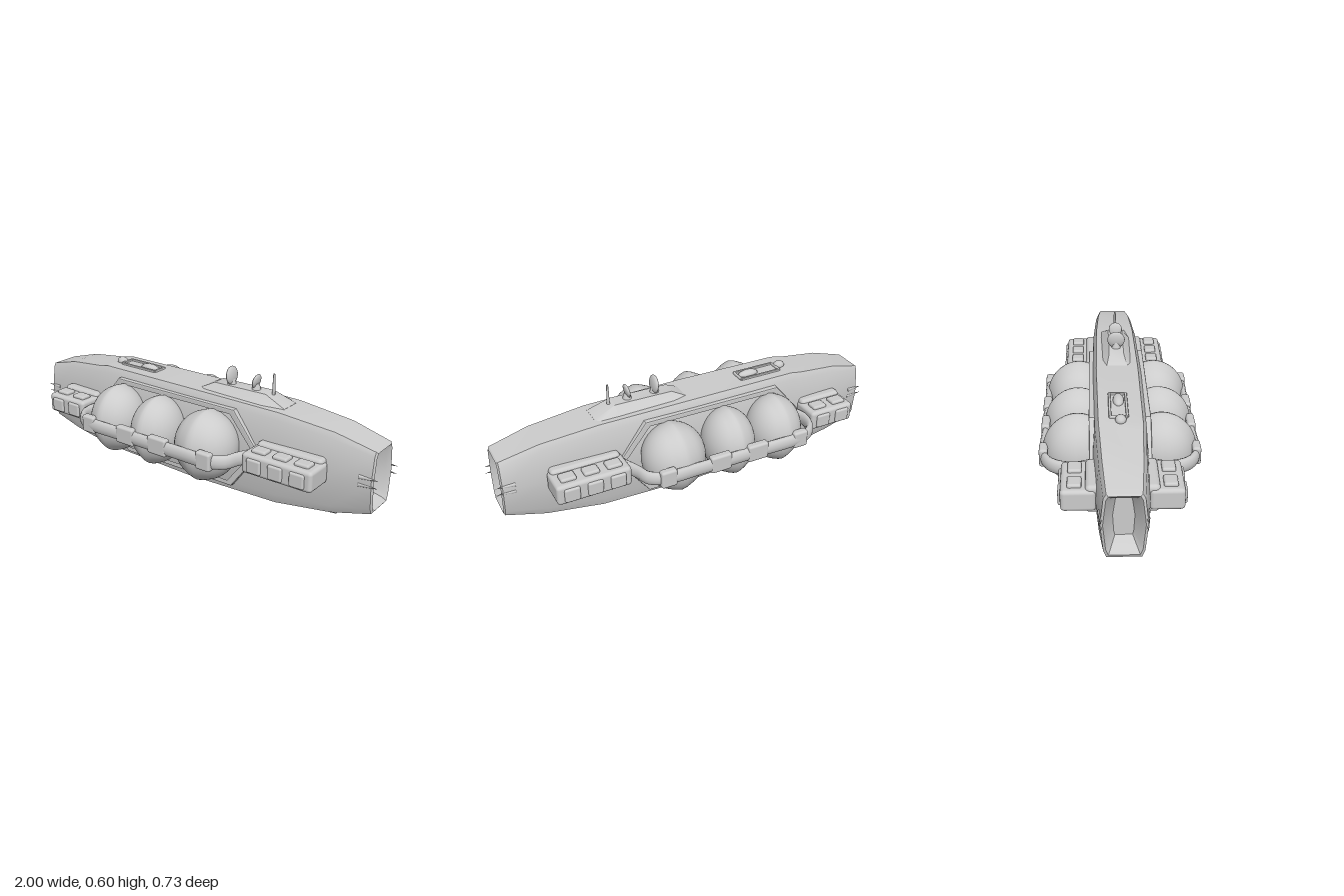
import * as THREE from 'three';
import { toCreasedNormals } from 'three/addons/utils/BufferGeometryUtils.js';
import { RoundedBoxGeometry } from 'three/addons/geometries/RoundedBoxGeometry.js';

const grey = new THREE.MeshStandardMaterial({ color: 0xcccccc });

function add(parent, name, geometry, x = 0, y = 0, z = 0) {
  const mesh = new THREE.Mesh(geometry, grey);
  mesh.name = name;
  mesh.position.set(x, y, z);
  parent.add(mesh);
  return mesh;
}

const rbox = (w, h, d, r) => new RoundedBoxGeometry(w, h, d, 2, r);

// Joins rings of [y, z] points along x, closing both ends.
function loft(rings, crease = 0.5) {
  const pos = [], idx = [], n = rings[0].pts.length;
  for (const { x, pts } of rings) for (const [y, z] of pts) pos.push(x, y, z);
  for (let i = 0; i < rings.length - 1; i++) {
    for (let j = 0; j < n; j++) {
      const a = i * n + j, b = i * n + (j + 1) % n;
      idx.push(a, b, a + n, b, b + n, a + n);
    }
  }
  const last = (rings.length - 1) * n;
  for (let j = 1; j < n - 1; j++) {
    idx.push(0, j + 1, j);
    idx.push(last, last + j, last + j + 1);
  }
  const g = new THREE.BufferGeometry();
  g.setAttribute('position', new THREE.Float32BufferAttribute(pos, 3));
  g.setIndex(idx);
  return toCreasedNormals(g, crease);
}

// Ten-sided hull ring: bottom, top, widths at top, middle and bottom.
function hullRing(x, yb, yt, wt, wm, wb) {
  const h = yt - yb;
  const half = [
    [yt, wt * 0.86], [yt - h * 0.07, wt], [yb + h * 0.52, wm],
    [yb + h * 0.1, (wm + wb) / 2], [yb, wb],
  ];
  return { x, pts: [...half, ...half.map(([y, z]) => [y, -z]).reverse()] };
}

function buildHull(parent) {
  const rings = [
    // recessed left end
    hullRing(-0.90, 0.15, 0.335, 0.034, 0.045, 0.036),
    hullRing(-0.955, 0.125, 0.365, 0.062, 0.074, 0.054),
    hullRing(-0.975, 0.105, 0.385, 0.073, 0.086, 0.064),
    // body
    hullRing(-0.968, 0.09, 0.392, 0.083, 0.097, 0.072),
    hullRing(-0.80, 0.052, 0.437, 0.098, 0.115, 0.085),
    hullRing(-0.60, 0.024, 0.458, 0.108, 0.124, 0.095),
    hullRing(-0.54, 0.02, 0.47, 0.112, 0.126, 0.1),
    hullRing(0.0, 0.005, 0.47, 0.118, 0.128, 0.105),
    hullRing(0.50, 0.015, 0.463, 0.112, 0.126, 0.1),
    hullRing(0.78, 0.05, 0.437, 0.098, 0.115, 0.085),
    hullRing(0.968, 0.098, 0.392, 0.083, 0.097, 0.072),
    // recessed right end
    hullRing(0.975, 0.108, 0.385, 0.073, 0.086, 0.064),
    hullRing(0.955, 0.125, 0.365, 0.062, 0.074, 0.054),
    hullRing(0.90, 0.15, 0.335, 0.034, 0.045, 0.036),
  ];
  add(parent, 'hull', loft(rings));
  // keel pads under both ends
  for (const s of [-1, 1]) {
    const pad = add(parent, 'keelPad', rbox(0.16, 0.03, 0.13, 0.008), s * 0.72, 0.044, 0);
    pad.rotation.z = s * 0.1;
  }
}

// Raised rim around the side bay that holds the tanks
function buildBayRim(parent, s) {
  const outline = (k) => [
    [-0.58, 0.25], [-0.43, 0.43], [0.28, 0.43], [0.42, 0.25], [0.27, 0.05], [-0.38, 0.05],
  ].map(([x, y]) => new THREE.Vector2(-0.08 + (x + 0.08) * k, 0.24 + (y - 0.24) * (k * 2 - 1)));
  const shape = new THREE.Shape(outline(1));
  shape.holes.push(new THREE.Path(outline(0.95)));
  const g = new THREE.ExtrudeGeometry(shape, {
    depth: 0.03, bevelEnabled: true, bevelSize: 0.006, bevelThickness: 0.006, bevelSegments: 2,
  });
  add(parent, 'bayRim', g, 0, 0, s * 0.117 - 0.015);
}

// Round tank with a raised seam over its middle
function tankGeometry(rx) {
  const g = new THREE.SphereGeometry(1, 40, 28);
  const p = g.attributes.position;
  for (let i = 0; i < p.count; i++) {
    const k = 1 + 0.045 * Math.max(0, 1 - Math.abs(p.getX(i)) / 0.3);
    p.setXYZ(i, p.getX(i) * rx, p.getY(i) * k * 0.167, p.getZ(i) * k * 0.152);
  }
  g.computeVertexNormals();
  return g;
}

// Guard rail bending round the tanks
function buildRail(parent, s) {
  const path = new THREE.CatmullRomCurve3([
    [-0.53, 0.11], [-0.56, 0.2], [-0.54, 0.285], [-0.48, 0.335], [-0.2, 0.343],
    [0.1, 0.343], [0.28, 0.338], [0.35, 0.3], [0.375, 0.235], [0.42, 0.14],
  ].map(([x, z]) => new THREE.Vector3(x, 0, s * z)));
  const rail = add(parent, 'guardRail', new THREE.TubeGeometry(path, 80, 0.019, 12), 0, 0.252, 0);
  rail.scale.y = 1.85;
  for (const [x, w] of [[-0.2, 0.11], [0.0, 0.11], [0.27, 0.08], [-0.44, 0.08]]) {
    add(parent, 'railClamp', rbox(w, 0.088, 0.04, 0.012), x, 0.254, s * 0.343);
  }
}

// Side pods with bumps on top, bottom and outer face
function buildPod(parent, s, x0, x1) {
  const pod = new THREE.Group();
  pod.name = 'sidePod';
  pod.position.set((x0 + x1) / 2, 0.255, 0);
  parent.add(pod);
  const w = x1 - x0;
  add(pod, 'podRoot', rbox(w * 0.94, 0.13, 0.06, 0.02), 0, 0.002, s * 0.125);
  add(pod, 'podBody', rbox(w, 0.1, 0.15, 0.018), 0, 0, s * 0.184);
  const count = w > 0.3 ? 3 : 2;
  for (let i = 0; i < count; i++) {
    const x = ((i + 0.5) / count - 0.5) * w * 0.92;
    const bw = w / count * 0.62;
    add(pod, 'podTopBump', rbox(bw, 0.03, 0.06, 0.01), x, 0.05, s * 0.2);
    add(pod, 'podBottomBump', rbox(bw, 0.02, 0.06, 0.008), x, -0.05, s * 0.2);
    add(pod, 'podFaceBump', rbox(bw, 0.07, 0.025, 0.01), x, -0.002, s * 0.257);
  }
}

// Superstructure, dishes, mast and deck fittings
function buildDeck(parent) {
  const ring = (x, y, wt, wb) => ({ x, pts: [[y, -wt], [y, wt], [0.45, wb], [0.45, -wb]] });
  add(parent, 'superstructure', loft([
    ring(0.03, 0.468, 0.05, 0.08), ring(0.1, 0.503, 0.036, 0.085),
    ring(0.39, 0.507, 0.036, 0.085), ring(0.5, 0.464, 0.05, 0.08),
  ]));
  for (const [x, r, tilt] of [[0.175, 0.044, 0.1], [0.315, 0.034, -0.2]]) {
    const dish = add(parent, 'sensorDish', new THREE.SphereGeometry(r, 20, 14), x, 0.545, 0);
    dish.scale.set(0.34, 1, 1);
    dish.rotation.z = tilt;
    add(parent, 'dishStem', new THREE.CylinderGeometry(0.014, 0.025, 0.04, 10), x, 0.515, 0);
  }
  add(parent, 'mast', new THREE.CylinderGeometry(0.005, 0.008, 0.1, 8), 0.41, 0.55, 0);
  // deck hatch frame with bumps
  for (const z of [-0.045, 0.03]) {
    add(parent, 'hatchRail', rbox(0.22, 0.014, 0.012, 0.004), -0.39, 0.473, z);
  }
  for (const x of [-0.5, -0.28]) {
    add(parent, 'hatchEnd', rbox(0.012, 0.014, 0.08, 0.004), x, 0.473, -0.008);
  }
  const vent = add(parent, 'hatchVent', new THREE.SphereGeometry(1, 16, 10), -0.34, 0.472, -0.005);
  vent.scale.set(0.055, 0.021, 0.025);
  const knob = add(parent, 'deckKnob', new THREE.SphereGeometry(1, 12, 8), -0.525, 0.474, 0);
  knob.scale.set(0.03, 0.022, 0.025);
}

export function createModel() {
  const model = new THREE.Group();
  model.name = 'spaceship';
  buildHull(model);
  buildDeck(model);
  const tanks = [[-0.385, 0.135], [-0.125, 0.127], [0.17, 0.155]];
  for (const s of [1, -1]) {
    buildBayRim(model, s);
    for (const [x, rx] of tanks) add(model, 'tank', tankGeometry(rx), x, 0.252, s * 0.19);
    buildRail(model, s);
    buildPod(model, s, -0.82, -0.575);
    buildPod(model, s, 0.41, 0.77);
    // paired prongs at both ends
    for (const e of [-1, 1]) {
      for (const y of [0.236, 0.272]) {
        const prong = add(model, 'prong', new THREE.ConeGeometry(0.012, 0.09, 10), e * 0.955, y, s * 0.094);
        prong.rotation.z = -e * Math.PI / 2;
      }
    }
  }
  return model;
}
